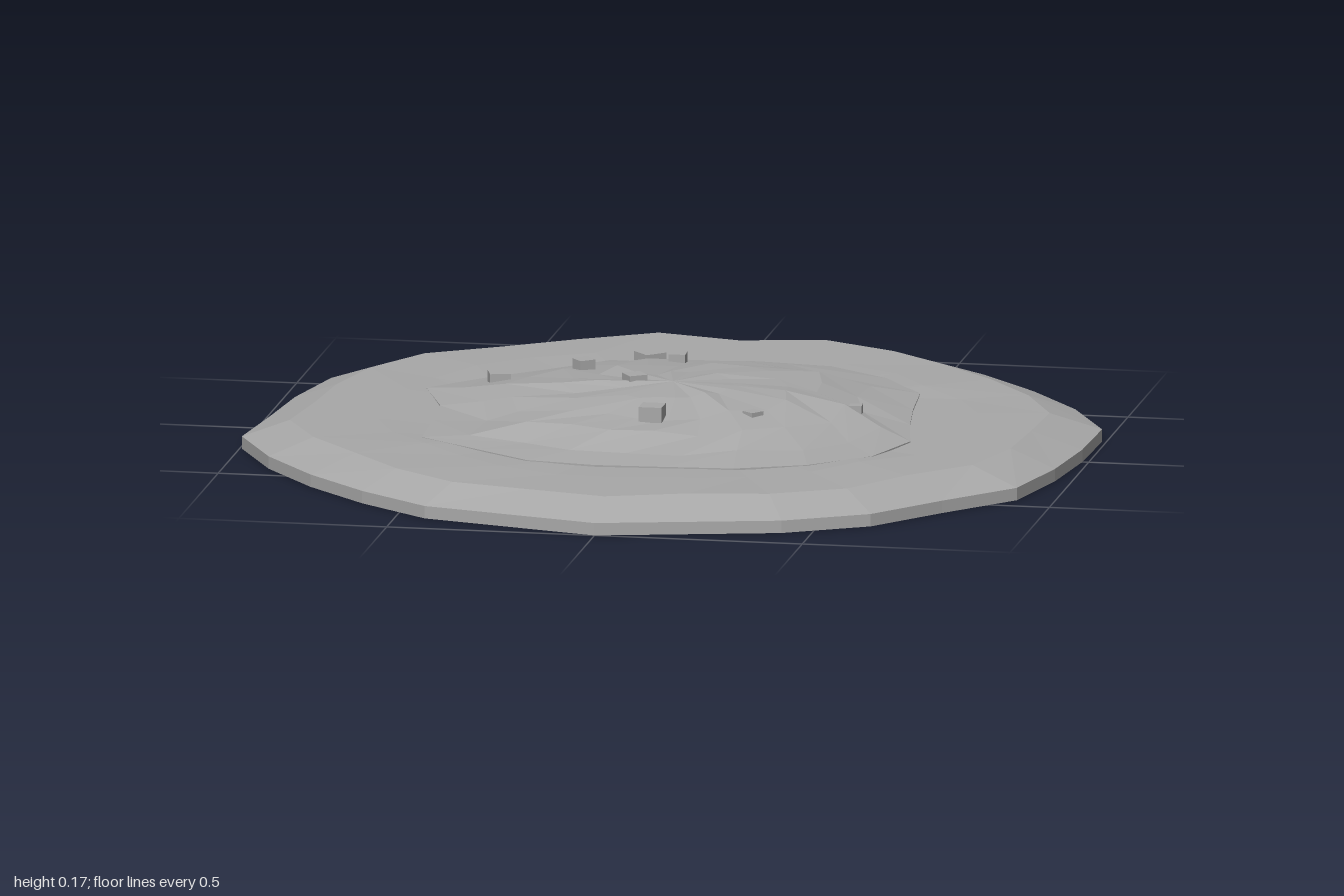
import * as THREE from 'three';

const stone = new THREE.MeshStandardMaterial({ color: 0xa8a8a8 });
stone.name = 'grey stone';

// Repeatable noise in -1..1
const noise = (a, b) => {
  const s = Math.sin(a * 127.1 + b * 311.7) * 43758.5453;
  return 2 * (s - Math.floor(s)) - 1;
};

// Faceted skin over a stack of rings, listed from the bottom up
function loft(name, rings) {
  const pos = [];
  for (let r = 0; r + 1 < rings.length; r++) {
    const lo = rings[r], hi = rings[r + 1], n = lo.length;
    for (let k = 0; k < n; k++) {
      const j = (k + 1) % n;
      const tris = [[lo[k], lo[j], hi[j]], [lo[k], hi[j], hi[k]]];
      for (const [a, b, c] of tris) {
        if (a.equals(b) || b.equals(c) || a.equals(c)) continue;
        for (const p of [a, b, c]) pos.push(p.x, p.y, p.z);
      }
    }
  }
  const geo = new THREE.BufferGeometry();
  geo.setAttribute('position', new THREE.Float32BufferAttribute(pos, 3));
  geo.computeVertexNormals();
  const mesh = new THREE.Mesh(geo, stone);
  mesh.name = name;
  return mesh;
}

const polar = (r, angle, y) => new THREE.Vector3(r * Math.sin(angle), y, r * Math.cos(angle));

// Outlines as radii, counted from the front towards +x
const baseRadii = [
  1, 0.97, 0.99, 1, 0.975, 1.01, 0.985, 0.985, 1.015, 0.985, 0.965, 0.97, 0.985, 1.02,
  0.965, 1.025, 0.99, 0.995, 1.02, 1.005, 0.975, 0.97, 1.02, 0.99, 0.97, 0.97, 0.99, 0.97];
const moundRadii = [
  0.565, 0.6, 0.63, 0.65, 0.63, 0.57, 0.57, 0.63, 0.645, 0.65, 0.618,
  0.565, 0.617, 0.58, 0.6, 0.655, 0.56, 0.57, 0.64, 0.595, 0.6, 0.575];

export function createModel() {
  const group = new THREE.Group();

  // Broad disc with a bevelled rim: [scale, height, height jitter, radius jitter]
  const baseProfile = [
    [0, 0, 0, 0], [1, 0, 0, 0], [1, 0.03, 0, 0], [0.88, 0.07, 0.002, 0.012],
    [0.7, 0.072, 0.003, 0.02], [0.5, 0.068, 0, 0], [0, 0.068, 0, 0]];
  group.add(loft('baseDisc', baseProfile.map(([s, y, dy, dr], i) =>
    baseRadii.map((r, k) => polar(
      s * r + dr * noise(k, i), k / baseRadii.length * Math.PI * 2, y + dy * noise(i, k + 40))))));

  // Rough mound with swirling ridges: [scale, height, twist, jitter]
  const moundProfile = [
    [1, 0.055, 0, 0], [1, 0.073, 0, 0], [0.82, 0.094, 0.3, 0.006], [0.64, 0.12, 0.7, 0.009],
    [0.45, 0.138, 1.0, 0.009], [0.24, 0.149, 1.3, 0.006], [0, 0.155, 1.3, 0]];
  const step = Math.PI * 2 / moundRadii.length;
  group.add(loft('mound', moundProfile.map(([s, y, twist, jitter], i) =>
    moundRadii.map((r, k) => {
      const rough = jitter ? 0.025 * noise(k + 9, i) : 0;
      const p = polar(s * r + rough, (k + 0.5 + twist) * step, y + jitter * noise(i + 5, k));
      // The front slope sags a little
      if (jitter && p.z > 0.15) p.y -= 0.012;
      return p;
    }))));

  // Loose blocks, some nearly buried: [x, z, top, width, turn]
  const blocks = [
    [0, 0.265, 0.155, 0.055, 0], [-0.095, -0.015, 0.166, 0.045, 0.6],
    [-0.14, -0.45, 0.122, 0.055, 0.75], [-0.06, -0.38, 0.138, 0.04, 0.05],
    [-0.26, -0.24, 0.146, 0.04, 0.7], [-0.45, -0.17, 0.122, 0.05, 0.3],
    [0.44, 0, 0.116, 0.03, 0.1], [0.23, 0.2, 0.136, 0.035, 0.9]];
  blocks.forEach(([x, z, top, w, turn], i) => {
    const block = new THREE.Mesh(new THREE.BoxGeometry(w, 0.04, w), stone);
    block.position.set(x, top - 0.02, z);
    block.rotation.y = turn;
    block.name = `looseBlock${i + 1}`;
    group.add(block);
  });

  return group;
}
